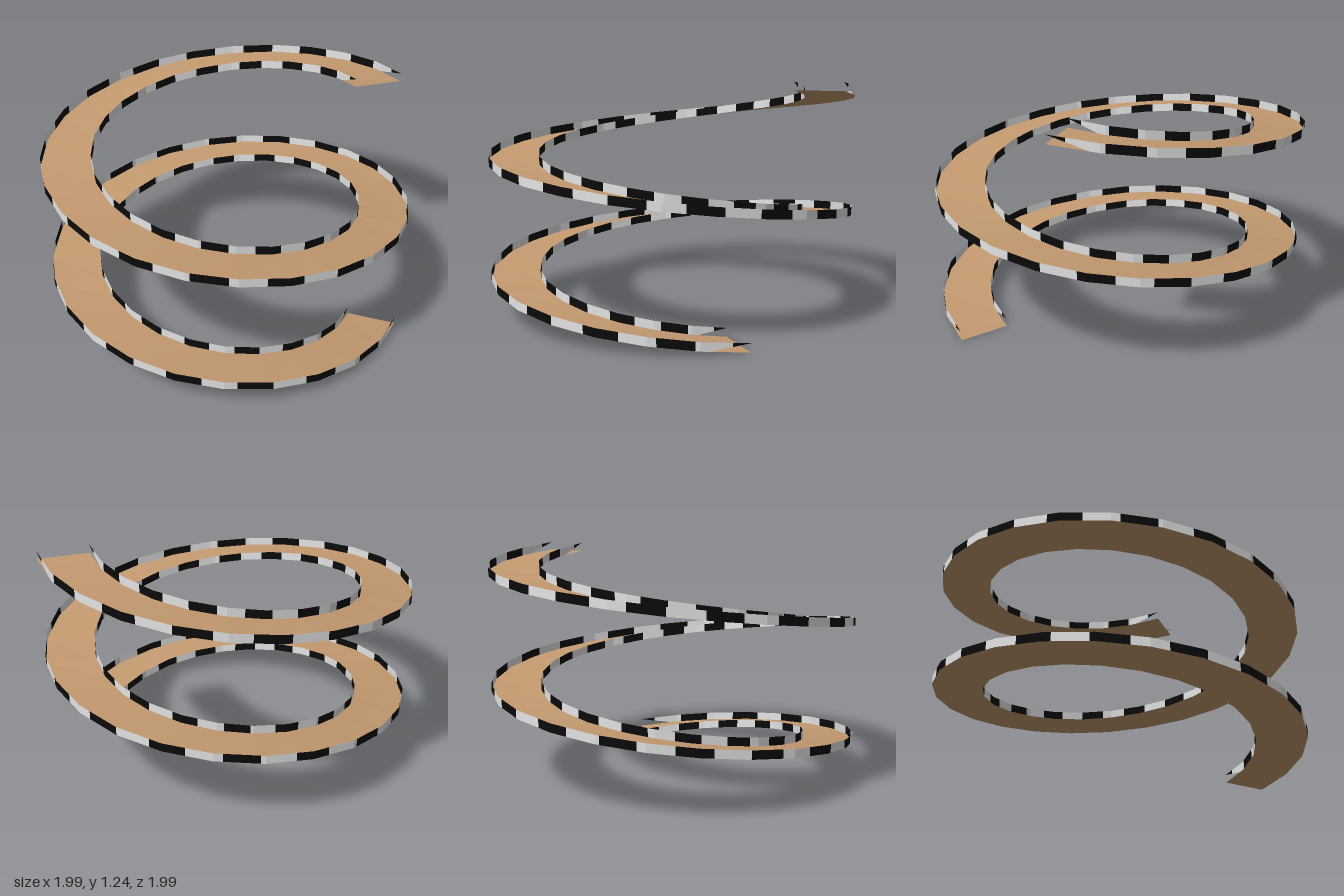
import * as THREE from 'three';

const OUTER = 0.995, INNER = 0.73;   // ramp radii
const END = 11.93, RISE = 1.198;     // total sweep in radians, total climb
const FACETS = 48, STEP = END / FACETS;
const DASHES = 66, DASH = END / DASHES;
const WALL = 0.045, TAPER = 0.2;     // kerb height, length of the pointed ends

// Point on the faceted helix: straight between facet corners
function helix(a, r, lift = 0) {
  const i = Math.min(Math.floor(a / STEP + 1e-6), FACETS - 1);
  const t = a / STEP - i, a0 = i * STEP, a1 = a0 + STEP;
  return [
    r * THREE.MathUtils.lerp(Math.cos(a0), Math.cos(a1), t),
    RISE * a / END + lift,
    r * THREE.MathUtils.lerp(Math.sin(a0), Math.sin(a1), t),
  ];
}

// Flat-faced geometry from a list of quads (corners a, b, c, d in order)
function quads(list) {
  const pos = [];
  for (const [a, b, c, d] of list) pos.push(...a, ...b, ...c, ...a, ...c, ...d);
  const g = new THREE.BufferGeometry();
  g.setAttribute('position', new THREE.Float32BufferAttribute(pos, 3));
  g.computeVertexNormals();
  return g;
}

export function createModel() {
  const make = (name, color) => {
    const m = new THREE.MeshStandardMaterial({ color, side: THREE.DoubleSide });
    m.name = name;
    return m;
  };
  const tan = make('tan', 0xc49a70);
  const black = make('black', 0x0a0a0a);
  const white = make('white', 0xe4e4e4);

  const model = new THREE.Group();
  model.name = 'spiralRamp';
  const add = (name, list, mat) => {
    const mesh = new THREE.Mesh(quads(list), mat);
    mesh.name = name;
    model.add(mesh);
  };

  // Road surface
  const road = [];
  for (let i = 0; i < FACETS; i++) {
    const a = i * STEP, b = a + STEP;
    road.push([helix(a, INNER), helix(b, INNER), helix(b, OUTER), helix(a, OUTER)]);
  }
  add('road', road, tan);

  // Kerbs are cut at every facet corner, colour change and taper end
  const cuts = [TAPER, END - TAPER];
  for (let i = 0; i <= FACETS; i++) cuts.push(i * STEP);
  for (let i = 0; i < DASHES; i++) cuts.push((i + 0.5) * DASH);
  cuts.sort((p, q) => p - q);

  // Lower edge rises to a point at both ends of the ramp
  const foot = a => WALL * Math.max(0, 1 - a / TAPER, 1 - (END - a) / TAPER);

  for (const [side, r] of [['outer', OUTER], ['inner', INNER]]) {
    const dashes = [[], []];
    for (let i = 0; i + 1 < cuts.length; i++) {
      const a = cuts[i], b = cuts[i + 1];
      if (b - a < 1e-5) continue;
      const quad = [helix(a, r, WALL), helix(b, r, WALL), helix(b, r, foot(b)), helix(a, r, foot(a))];
      dashes[Math.round((a + b) / 2 / DASH) % 2].push(r === OUTER ? quad : quad.reverse());
    }
    add(side + 'KerbBlack', dashes[0], black);
    add(side + 'KerbWhite', dashes[1], white);
  }
  return model;
}
